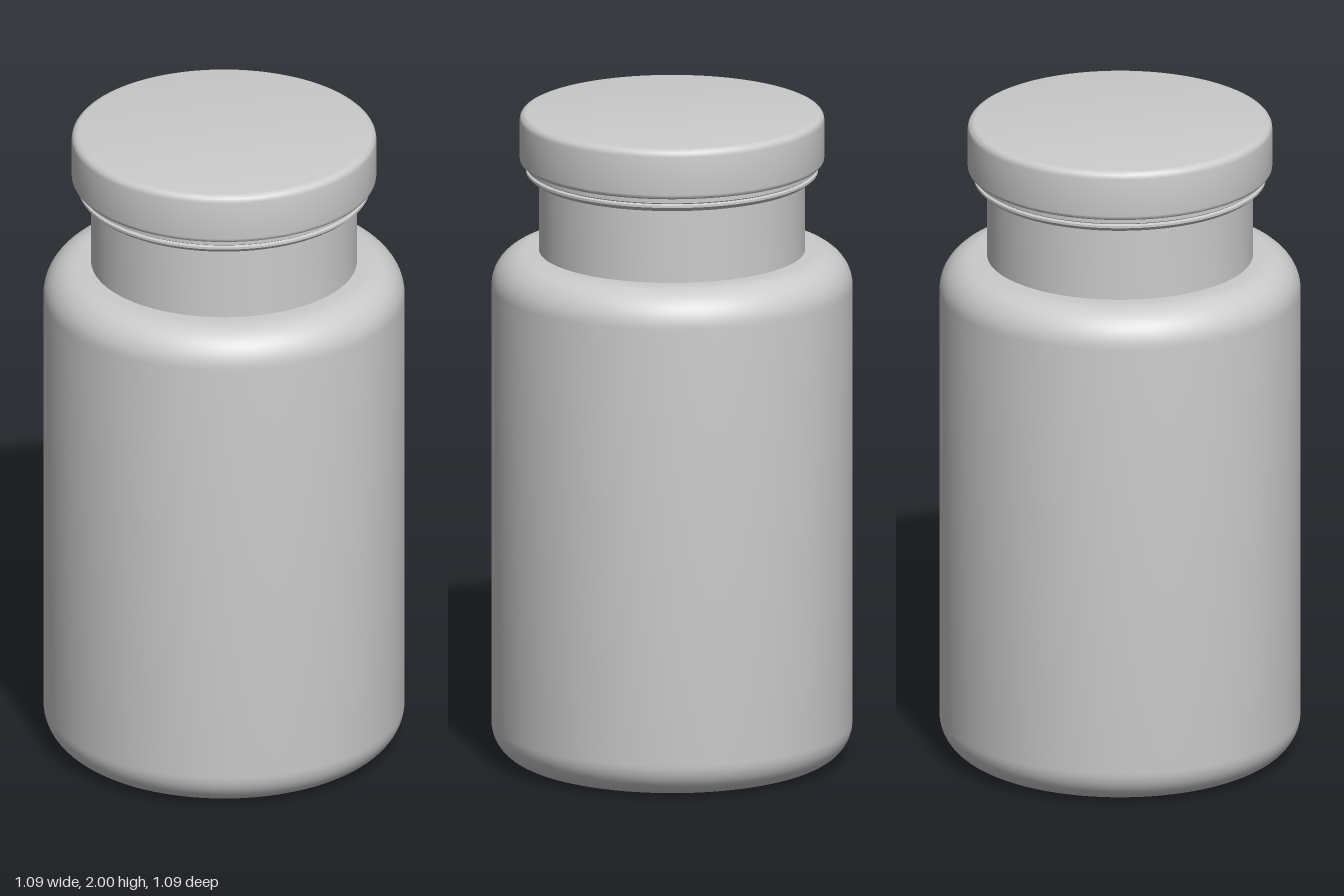
import * as THREE from 'three';
import { toCreasedNormals } from 'three/addons/utils/BufferGeometryUtils.js';

const material = new THREE.MeshStandardMaterial({ color: 0xcccccc, side: THREE.DoubleSide });

// Turns a profile of [radius, height, cornerRadius] points, listed bottom to top,
// rounding each corner that has a radius.
function turned(name, profile) {
  const points = [];
  profile.forEach(([x, y, r = 0], i) => {
    const corner = new THREE.Vector2(x, y);
    if (!r) return points.push(corner);
    const toward = ([px, py]) => new THREE.Vector2(px, py).sub(corner).normalize().multiplyScalar(r);
    const a = toward(profile[i - 1]);
    const b = toward(profile[i + 1]);
    const centre = corner.clone().add(a).add(b);
    const steps = r > 0.05 ? 12 : 5;
    for (let k = 0; k <= steps; k++) {
      const t = (k / steps) * Math.PI / 2;
      points.push(centre.clone().addScaledVector(b, -Math.cos(t)).addScaledVector(a, -Math.sin(t)));
    }
  });
  const mesh = new THREE.Mesh(toCreasedNormals(new THREE.LatheGeometry(points, 96), 0.6), material);
  mesh.name = name;
  return mesh;
}

export function createModel() {
  const group = new THREE.Group();
  group.name = 'bottle';

  // Body with rounded base and shoulder
  group.add(turned('body', [[0, 0], [0.543, 0, 0.11], [0.543, 1.573, 0.11], [0.4, 1.573]]));

  // Straight neck
  group.add(turned('neck', [[0.4, 1.573], [0.4, 1.805]]));

  // Stepped sealing band under the cap
  group.add(turned('sealBand', [
    [0.4, 1.803], [0.425, 1.803], [0.439, 1.816], [0.439, 1.823],
    [0.43, 1.826], [0.436, 1.83], [0.436, 1.846],
  ]));

  // Flat cap with softened rims
  group.add(turned('cap', [[0.43, 1.845], [0.458, 1.845, 0.015], [0.458, 2, 0.022], [0, 2]]));

  return group;
}
